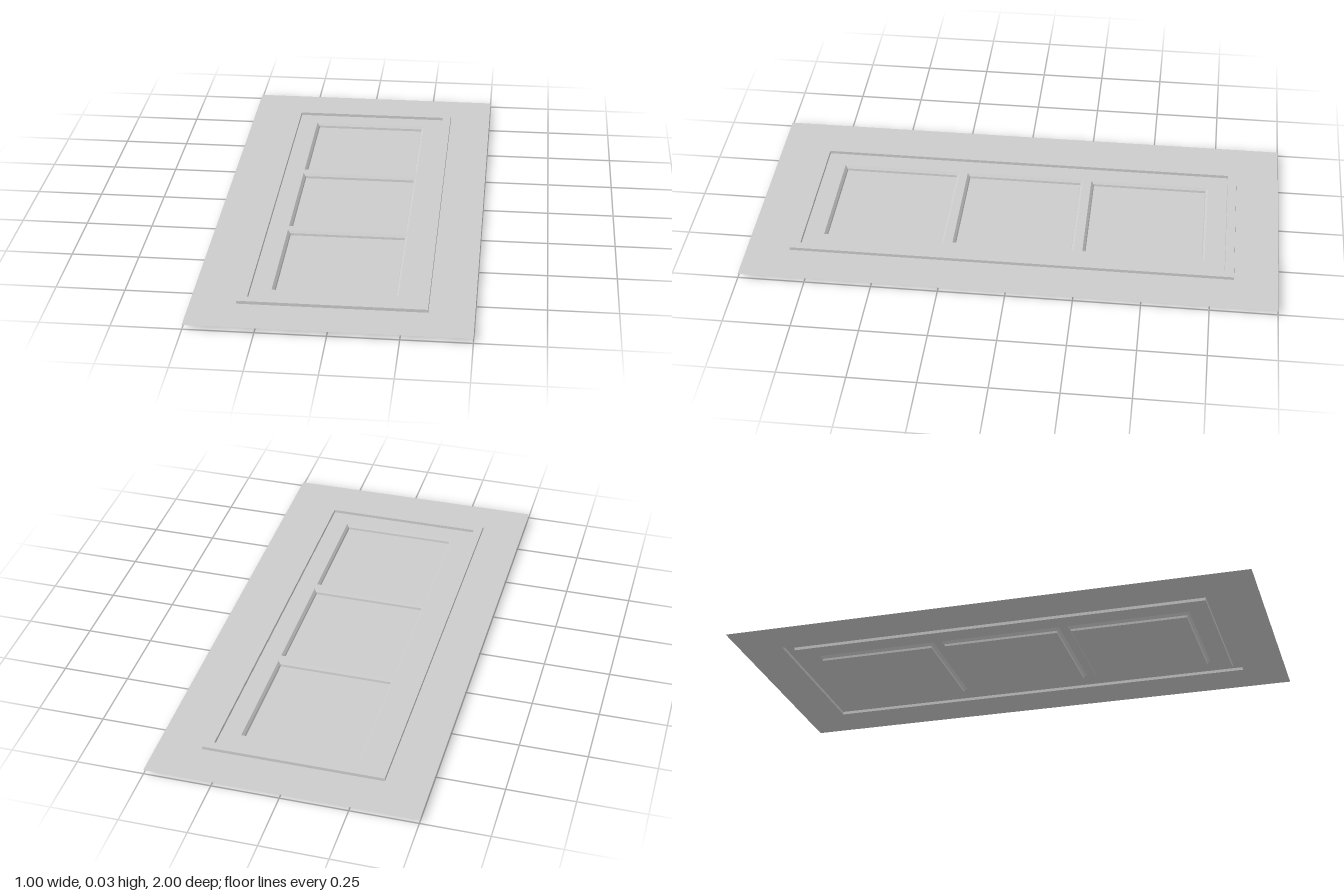
import * as THREE from 'three';

const FLOOR = 0.017, TOP = 0.028;
const material = new THREE.MeshStandardMaterial({ color: 0xcccccc, side: THREE.DoubleSide });

// Skin between successive rectangular rings, each [halfWidth, halfLength, y], outermost first
function loftRings(rings, capped = false) {
  const corners = ([x, z, y]) => [[x, y, z], [x, y, -z], [-x, y, -z], [-x, y, z]];
  const pos = [];
  for (let r = 0; r < rings.length - 1; r++) {
    const a = corners(rings[r]), b = corners(rings[r + 1]);
    for (let i = 0; i < 4; i++) {
      const j = (i + 1) % 4;
      pos.push(...a[i], ...a[j], ...b[j], ...a[i], ...b[j], ...b[i]);
    }
  }
  if (capped) {
    const c = corners(rings[rings.length - 1]);
    pos.push(...c[0], ...c[1], ...c[2], ...c[0], ...c[2], ...c[3]);
  }
  const geo = new THREE.BufferGeometry();
  geo.setAttribute('position', new THREE.Float32BufferAttribute(pos, 3));
  geo.computeVertexNormals();
  return geo;
}

function rectangle(path, hx, hz, cz = 0) {
  path.moveTo(-hx, cz - hz);
  path.lineTo(hx, cz - hz);
  path.lineTo(hx, cz + hz);
  path.lineTo(-hx, cz + hz);
  path.closePath();
  return path;
}

export function createModel() {
  const group = new THREE.Group();
  const add = (name, geo, z = 0) => {
    const mesh = new THREE.Mesh(geo, material);
    mesh.name = name;
    mesh.position.z = z;
    group.add(mesh);
  };

  // Flat surround
  add('surround', loftRings([[0.5, 1, FLOOR], [0.337, 0.837, FLOOR]]));

  // Raised moulding: outer wall, flat top, inner wall
  add('moulding', loftRings([
    [0.337, 0.837, FLOOR], [0.336, 0.836, TOP],
    [0.302, 0.802, TOP], [0.301, 0.801, FLOOR],
  ]));

  // Flat field inside the moulding, with openings for the panels
  const panels = [-0.495, 0, 0.495];
  const hx = 0.226, hz = 0.231;
  const field = rectangle(new THREE.Shape(), 0.301, 0.801);
  for (const z of panels) field.holes.push(rectangle(new THREE.Path(), hx, hz, z));
  add('field', new THREE.ShapeGeometry(field).rotateX(-Math.PI / 2).translate(0, FLOOR, 0));

  // Recessed panels with a bevelled lip and a steep wall
  for (const z of panels) {
    add('recessedPanel', loftRings([
      [hx, hz, FLOOR], [hx - 0.009, hz - 0.009, 0.008], [hx - 0.011, hz - 0.011, 0],
    ], true), z);
  }
  return group;
}
